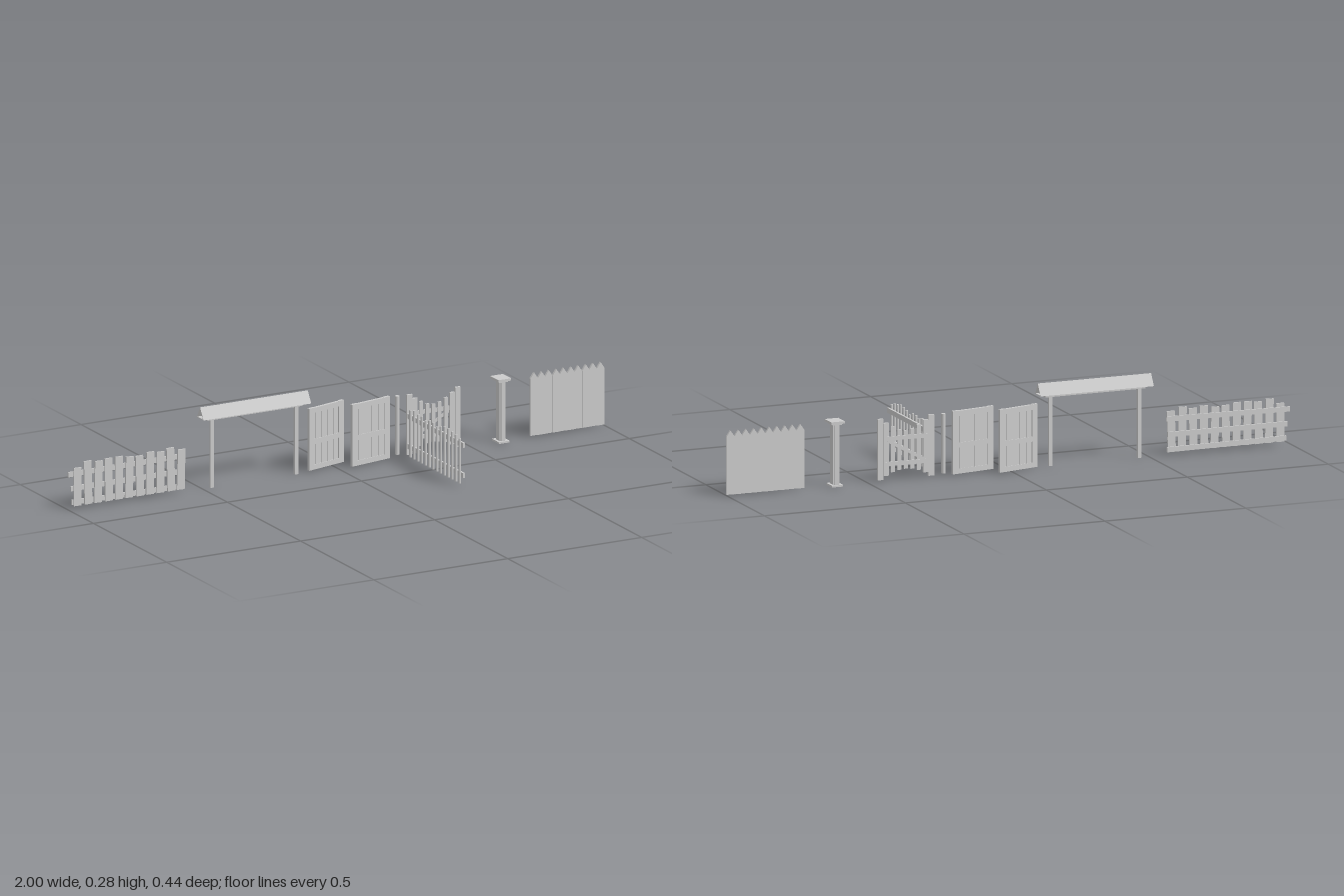
import * as THREE from 'three';

const mat = new THREE.MeshStandardMaterial({ color: 0xcccccc, side: THREE.DoubleSide });
const Z = -0.175; // the line most pieces stand on

function add(parent, name, geometry, x, y, z) {
  const mesh = new THREE.Mesh(geometry, mat);
  mesh.name = name;
  mesh.position.set(x, y, z);
  parent.add(mesh);
  return mesh;
}

// Box given by its extents
function box(parent, name, x0, x1, y0, y1, z0, z1) {
  return add(parent, name, new THREE.BoxGeometry(x1 - x0, y1 - y0, z1 - z0),
    (x0 + x1) / 2, (y0 + y1) / 2, (z0 + z1) / 2);
}

function group(parent, name, x = 0, z = 0) {
  const g = new THREE.Group();
  g.name = name;
  g.position.set(x, 0, z);
  parent.add(g);
  return g;
}

// Uneven board fence with three rails
function boardFence(root) {
  const g = group(root, 'boardFence', 0, Z);
  const tops = [0.14, 0.158, 0.152, 0.156, 0.156, 0.15, 0.148, 0.155, 0.15, 0.158, 0.147];
  tops.forEach((top, i) => {
    const x = -0.965 + i * 0.0386;
    const board = box(g, 'board', x - 0.014, x + 0.014, 0.01, top, 0, 0.005);
    board.rotation.z = 0.03 * Math.sin(i * 2.3);
  });
  [[0.02, -0.985, -0.562], [0.069, -0.988, -0.565], [0.12, -0.998, -0.56]].forEach(([y, a, b], i) => {
    const rail = box(g, 'rail', a, b, y - 0.008, y + 0.009, -0.005, 0);
    rail.rotation.z = (i - 1) * 0.008;
  });
}

// Entrance roof: hollow triangular prism on two posts
function roofedEntrance(root) {
  const g = group(root, 'roofedEntrance', 0, -0.172);
  const triangle = (Path, half, low, high) => {
    const p = new Path();
    p.moveTo(-half, low);
    p.lineTo(half, low);
    p.lineTo(0, high);
    p.closePath();
    return p;
  };
  const profile = triangle(THREE.Shape, 0.0235, 0.241, 0.28);
  profile.holes.push(triangle(THREE.Path, 0.0195, 0.2435, 0.2755));
  const roof = add(g, 'roof', new THREE.ExtrudeGeometry(profile, { depth: 0.402, bevelEnabled: false }), -0.508, 0, 0);
  roof.rotation.y = Math.PI / 2;
  box(g, 'beam', -0.485, -0.13, 0.232, 0.246, -0.007, 0.007);
  for (const x of [-0.465, -0.15]) {
    box(g, 'post', x - 0.006, x + 0.006, 0, 0.265, -0.005, 0.005);
  }
}

// Framed gate leaf running from its hinge along local +x
function gateLeaf(root, name, x, z, endX, endZ) {
  const g = group(root, name, x, z);
  const w = Math.hypot(endX - x, endZ - z);
  g.rotation.y = -Math.atan2(endZ - z, endX - x);
  box(g, 'panel', 0.004, w - 0.004, 0.006, 0.21, -0.0015, 0.0015);
  box(g, 'hingeStile', 0, 0.022, 0.003, 0.215, -0.005, 0.005);
  box(g, 'latchStile', w - 0.022, w, 0.003, 0.215, -0.005, 0.005);
  for (const y of [0.003, 0.09, 0.197]) {
    box(g, 'crossRail', 0.022, w - 0.022, y, y + 0.017, -0.005, 0.005);
  }
  for (let i = 0; i < 4; i++) {
    const c = 0.036 + i * (w - 0.072) / 3;
    box(g, 'batten', c - 0.009, c + 0.009, 0.02, 0.198, -0.0035, 0.0035);
  }
}

// Round-stake fence running front to back
function stakeFence(root) {
  const g = group(root, 'stakeFence');
  const tops = [0.163, 0.17, 0.173, 0.177, 0.175, 0.17, 0.161, 0.17, 0.17, 0.163, 0.17, 0.17, 0.175, 0.17];
  tops.forEach((top, i) => {
    add(g, 'stake', new THREE.CylinderGeometry(0.0043, 0.0043, top - 0.009, 12),
      0.256, (top + 0.009) / 2, 0.204 - i * 0.0259);
  });
  for (const y of [0.03, 0.133]) {
    box(g, 'stakeRail', 0.26, 0.267, y, y + 0.017, -0.16, 0.218);
  }
}

// Small garden gate with stepped sides and a dipping row of pickets
function gardenGate(root) {
  const g = group(root, 'gardenGate', 0.364, Z);
  for (const s of [-1, 1]) {
    const side = group(g, s < 0 ? 'rightSide' : 'leftSide');
    const board = (name, c, w, lo, hi) =>
      box(side, name, s * c - w / 2, s * c + w / 2, lo, hi, -0.004, 0.004);
    board('outerBoard', 0.09, 0.02, 0.005, 0.21);
    board('innerBoard', 0.07, 0.018, 0.018, 0.195);
  }
  for (let i = -2; i <= 2; i++) {
    const x = i * 0.023, lift = 0.004 * i * i;
    box(g, 'picket', x - 0.0065, x + 0.0065, 0.036 - lift / 2, 0.165 + lift, -0.003, 0.003);
  }
  for (const y of [0.05, 0.135]) {
    box(g, 'gateRail', -0.08, 0.08, y, y + 0.014, -0.006, -0.002);
  }
  const brace = box(g, 'brace', -0.075, 0.075, 0.094, 0.104, -0.006, -0.003);
  brace.rotation.z = 0.5;
}

// Square pillar with plinth and cap
function pillar(root) {
  const g = group(root, 'pillar', 0.615, -0.174);
  box(g, 'shaft', -0.011, 0.011, 0.004, 0.213, -0.013, 0.013);
  for (const s of [-1, 1]) box(g, 'shaftStrip', -0.007, 0.007, 0.006, 0.211, s * 0.015 - 0.003, s * 0.015 + 0.003);
  box(g, 'plinth', -0.02, 0.02, 0, 0.006, -0.024, 0.024);
  box(g, 'capBase', -0.017, 0.017, 0.207, 0.213, -0.02, 0.02);
  box(g, 'cap', -0.024, 0.024, 0.212, 0.22, -0.028, 0.028);
}

// Close palisade of pointed planks
function palisade(root) {
  const g = group(root, 'palisade', 0, Z);
  const count = 10, w = 0.275 / count;
  for (let i = 0; i < count; i++) {
    const s = new THREE.Shape();
    s.moveTo(-w / 2, 0.003);
    s.lineTo(w / 2, 0.003);
    s.lineTo(w / 2, 0.198);
    s.lineTo(0, 0.218);
    s.lineTo(-w / 2, 0.198);
    s.closePath();
    const plank = new THREE.ExtrudeGeometry(s, { depth: 0.008, bevelEnabled: false });
    add(g, 'plank', plank, 0.725 + (i + 0.5) * w, 0, -0.004 + (i % 2 ? 0.0008 : -0.0008));
  }
}

export function createModel() {
  const root = new THREE.Group();
  root.name = 'fenceSet';
  boardFence(root);
  roofedEntrance(root);
  gateLeaf(root, 'rightGateLeaf', -0.1, -0.178, 0.048, -0.214);
  gateLeaf(root, 'leftGateLeaf', 0.2, -0.178, 0.045, -0.151);
  add(root, 'loosePost', new THREE.CylinderGeometry(0.0075, 0.0075, 0.2, 12), 0.232, 0.11, -0.18);
  stakeFence(root);
  gardenGate(root);
  pillar(root);
  palisade(root);
  return root;
}
